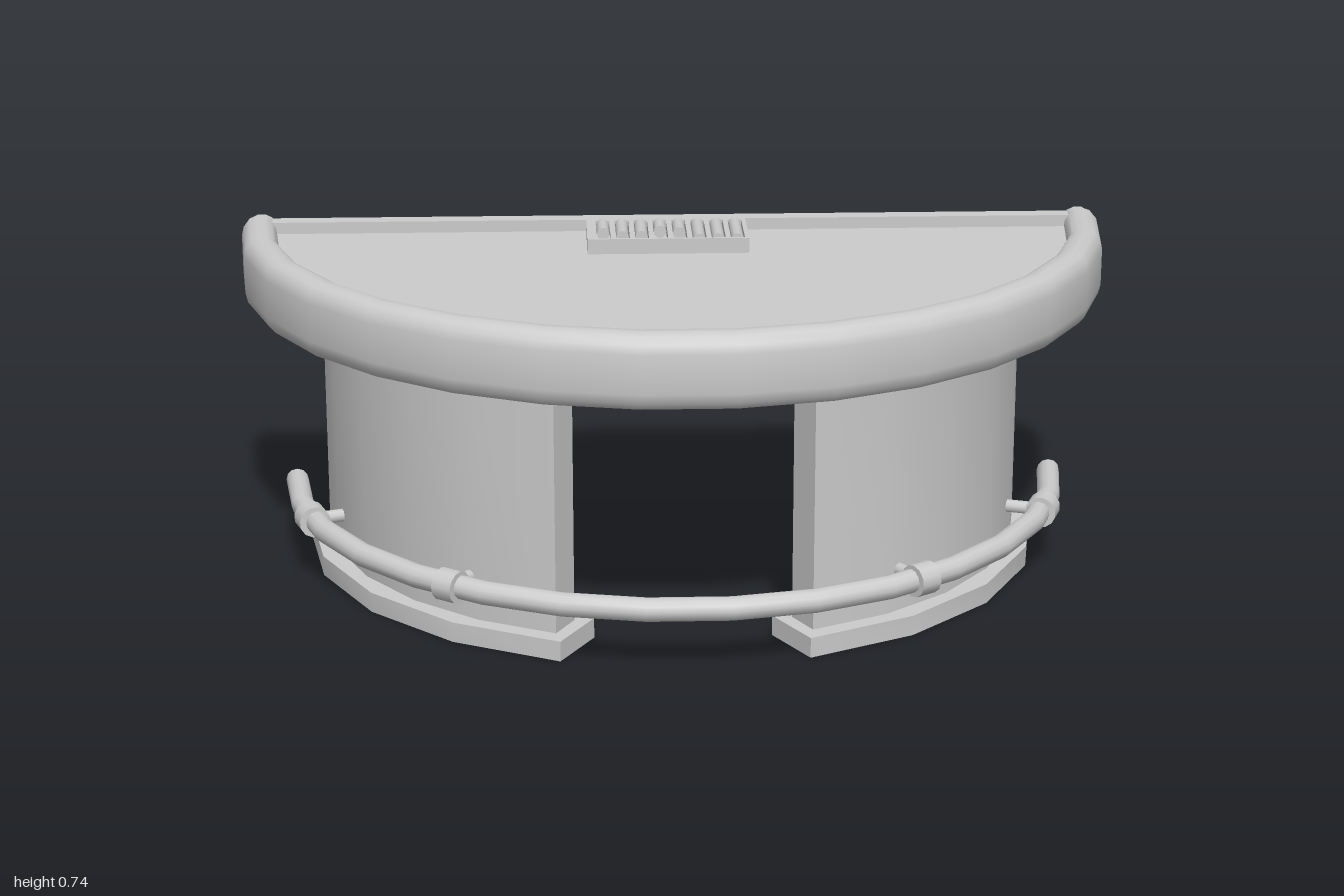
import * as THREE from 'three';
import { toCreasedNormals } from 'three/addons/utils/BufferGeometryUtils.js';

const mat = new THREE.MeshStandardMaterial({ color: 0xcccccc });
const rad = THREE.MathUtils.degToRad;

// point on a flat ellipse, angle in degrees from +x towards the front
const onEllipse = (e, deg, y = 0, inset = 0) => new THREE.Vector3(
  e.x + (e.a - inset) * Math.cos(rad(deg)), y, e.z + (e.b - inset) * Math.sin(rad(deg)));

// sweep a convex profile of [inset, y, spread] along an ellipse through the given angles, with caps;
// spread lengthens that point's path at both ends, in degrees;
// endInsets holds the least inset of the sections counted from either end, to round the ends
function sweep(e, profile, angles, endInsets = []) {
  const last = angles.length - 1, n = profile.length;
  const rings = angles.map((t, s) => {
    const least = endInsets[Math.min(s, last - s)] ?? -Infinity;
    return profile.map(([w, y, spread = 0]) =>
      onEllipse(e, t + spread * ((2 * s) / last - 1), y, Math.max(w, least)));
  });
  const v = [];
  const tri = (...ps) => ps.forEach((p) => v.push(p.x, p.y, p.z));
  for (let s = 0; s < last; s++) {
    for (let i = 0; i < n; i++) {
      const j = (i + 1) % n, A = rings[s], B = rings[s + 1];
      tri(A[i], A[j], B[j]);
      tri(A[i], B[j], B[i]);
    }
  }
  for (let i = 1; i < n - 1; i++) {
    tri(rings[0][0], rings[0][i + 1], rings[0][i]);
    tri(rings[last][0], rings[last][i], rings[last][i + 1]);
  }
  const g = new THREE.BufferGeometry();
  g.setAttribute('position', new THREE.Float32BufferAttribute(v, 3));
  return toCreasedNormals(g, rad(35));
}

const steps = (t0, t1, n) => Array.from({ length: n + 1 }, (_, i) => t0 + ((t1 - t0) * i) / n);

// extrude a flat plan (x, z) downwards from height top
function slab(shape, top, depth) {
  const g = new THREE.ExtrudeGeometry(shape, { depth, bevelEnabled: false });
  return g.rotateX(Math.PI / 2).translate(0, top, 0);
}

const rectPoints = (x0, x1, z0, z1) =>
  [[x0, z0], [x1, z0], [x1, z1], [x0, z1]].map(([x, z]) => new THREE.Vector2(x, z));

export function createModel() {
  const root = new THREE.Group();
  const add = (name, geo, parent = root) => {
    const m = new THREE.Mesh(geo, mat);
    m.name = name;
    parent.add(m);
    return m;
  };
  const box = (name, x0, x1, y0, y1, z0, z1, parent) =>
    add(name, new THREE.BoxGeometry(x1 - x0, y1 - y0, z1 - z0), parent)
      .position.set((x0 + x1) / 2, (y0 + y1) / 2, (z0 + z1) / 2);

  // padded rail around the half-round top
  const topEdge = { x: 0, z: -0.515, a: 1, b: 1.018 };
  const railProfile = [
    [0.08, 0.568], [0.036, 0.568], [0.018, 0.574], [0.005, 0.589], [0, 0.61],
    [0, 0.695], [0.005, 0.715], [0.018, 0.73], [0.036, 0.736],
    [0.055, 0.736], [0.07, 0.729], [0.08, 0.712],
  ];
  const bends = steps(12, 168, 13);
  add('armRail', sweep(topEdge, railProfile,
    [-0.85, -0.2, 0.8, ...bends, 179.2, 180.2, 180.85], [0.028, 0.009]));

  // playing surface and straight back board
  const surface = [0, ...bends, 180].map((t) => {
    const p = onEllipse(topEdge, t, 0, 0.06);
    return new THREE.Vector2(p.x, p.z);
  });
  add('tableTop', slab(new THREE.Shape(surface), 0.7, 0.105));
  box('backBoard', -0.94, 0.94, 0.574, 0.727, -0.529, -0.487);

  // chip tray: slotted frame, floor and rows of chips
  const tray = new THREE.Group();
  tray.name = 'chipTray';
  root.add(tray);
  const rowX = (i) => -0.163 + i * 0.0436;
  const frame = new THREE.Shape(rectPoints(-0.2, 0.168, -0.46, -0.28));
  for (let i = 0; i < 8; i++) {
    const x = rowX(i);
    frame.holes.push(new THREE.Path(rectPoints(x - 0.016, x + 0.016, -0.445, -0.288)));
  }
  add('trayFrame', slab(frame, 0.735, 0.04), tray);
  box('trayFloor', -0.195, 0.163, 0.69, 0.712, -0.455, -0.285, tray);
  [0.085, 0.115, 0.115, 0.07, 0.085, 0.145, 0.145, 0.145].forEach((len, i) => {
    const chips = add('chipRow', new THREE.CylinderGeometry(0.0145, 0.0145, len, 12), tray);
    chips.rotation.x = Math.PI / 2;
    chips.position.set(rowX(i), 0.7285, -0.436 + len / 2);
  });

  // two curved pedestals on wider plinths
  const wall = { x: -0.006, z: -0.37, a: 0.801, b: 0.81 };
  const foot = { x: -0.006, z: -0.37, a: 0.845, b: 0.853 };
  const bar = (w, y0, y1, spread) => [[w, y0, spread], [0, y0], [0, y1], [w, y1, spread]];
  for (const side of ['left', 'right']) {
    const span = (t0, t1, n) => (side === 'left' ? steps(t0, t1, n) : steps(180 - t1, 180 - t0, n));
    add(side + 'Pedestal', sweep(wall, bar(0.085, 0.04, 0.6, 0.9), span(2.8, 69.9, 5)));
    add(side + 'Plinth', sweep(foot, bar(0.15, 0, 0.045, 2.3), span(0.7, 71.6, 4)));
  }

  // foot rail, with collars and pegs into the pedestals
  const footLine = { x: 0, z: -0.4, a: 0.882, b: 0.907 };
  const tube = steps(0, 330, 11).map((k) =>
    [-0.026 * Math.cos(rad(k)), 0.14 + 0.026 * Math.sin(rad(k))]);
  add('footRail', sweep(footLine, tube, steps(2.2, 177.8, 15)));
  const up = new THREE.Vector3(0, 1, 0);
  for (const t of [20, 55, 125, 160]) {
    const p = onEllipse(footLine, t, 0.14);
    const along = onEllipse(footLine, t + 1, 0.14).sub(p).normalize();
    const inward = along.clone().cross(up);
    const collar = add('footRailCollar', new THREE.CylinderGeometry(0.036, 0.036, 0.05, 12));
    collar.position.copy(p);
    collar.quaternion.setFromUnitVectors(up, along);
    const peg = add('footRailPeg', new THREE.CylinderGeometry(0.015, 0.015, 0.11, 10));
    peg.position.copy(p).addScaledVector(inward, 0.055);
    peg.quaternion.setFromUnitVectors(up, inward);
  }
  return root;
}
